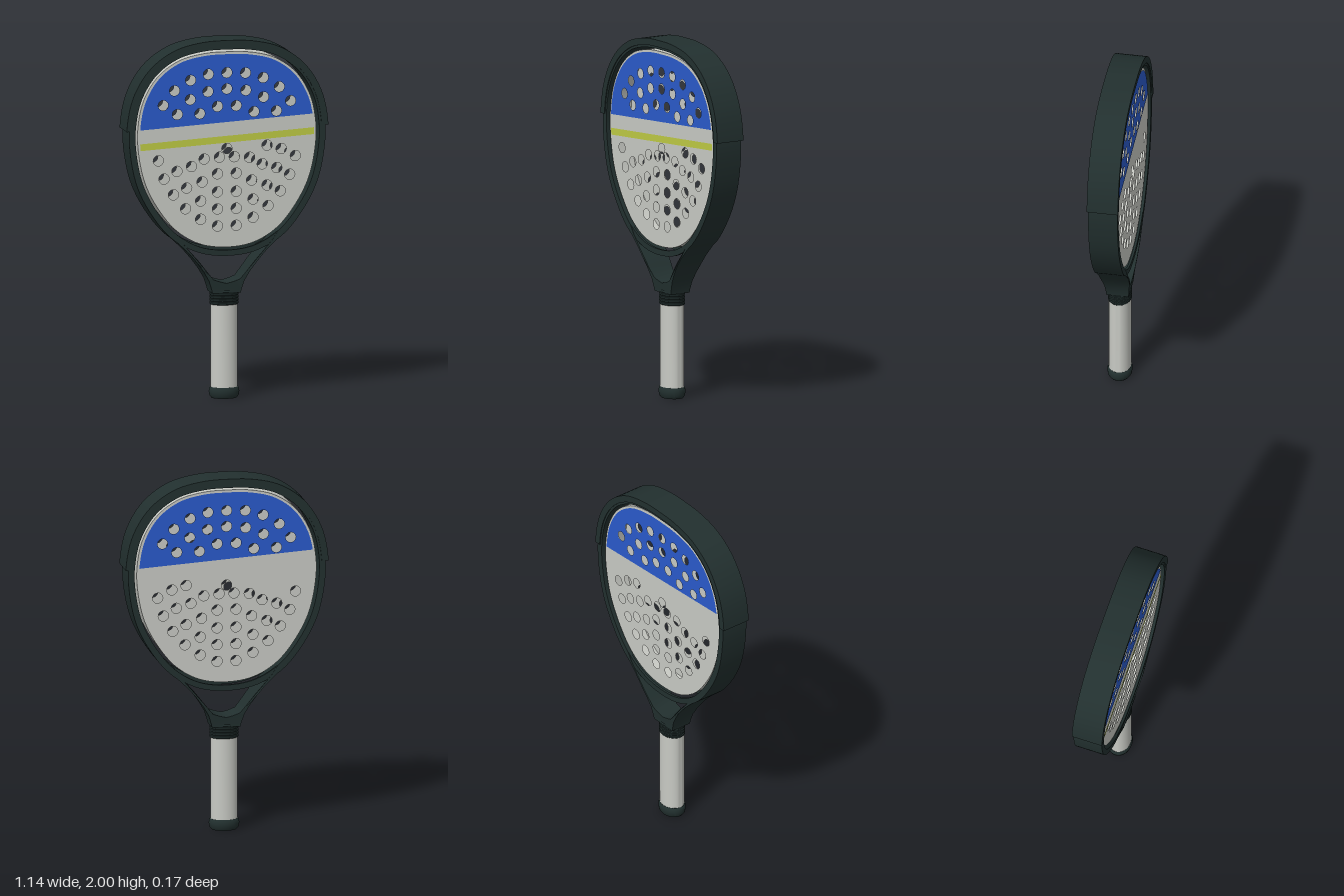
import * as THREE from 'three';
import { toCreasedNormals } from 'three/addons/utils/BufferGeometryUtils.js';

const mat = (name, color, side = THREE.FrontSide) => {
  const m = new THREE.MeshStandardMaterial({ color, side });
  m.name = name;
  return m;
};
const V = (x, y) => new THREE.Vector2(x, y);

// Egg outline of the hitting face, right half from bottom to top
const HALF = [[0, .848], [.15, .87], [.28, .945], [.385, 1.07], [.462, 1.22], [.5, 1.4],
  [.502, 1.53], [.47, 1.68], [.39, 1.81], [.27, 1.895], [.13, 1.93], [0, 1.936]];
const LOOP = [...HALF, ...HALF.slice(1, -1).reverse().map(([x, y]) => [-x, y])];
const CURVE = new THREE.CatmullRomCurve3(LOOP.map(([x, y]) => new THREE.Vector3(x, y, 0)), true);

// The outline moved outward by d, counter-clockwise from the bottom
function egg(d, n = 128) {
  return Array.from({ length: n }, (_, i) => {
    const p = CURVE.getPoint(i / n), t = CURVE.getTangent(i / n);
    return V(p.x + t.y * d, p.y - t.x * d);
  });
}

// Keeps the part of a polygon where f(point) > 0
function clip(points, f) {
  const out = [];
  points.forEach((a, i) => {
    const b = points[(i + 1) % points.length], fa = f(a), fb = f(b);
    if (fa > 0) out.push(a);
    if (fa * fb < 0) out.push(a.clone().lerp(b, fa / (fa - fb)));
  });
  return out;
}

// Drilled holes; every entry is mirrored unless x is 0
const UPPER = [[0, 1.82], [.105, 1.815], [.205, 1.785], [.296, 1.73], [.36, 1.65], [0, 1.73],
  [.107, 1.718], [.207, 1.677], [.28, 1.597], [.153, 1.597], [.053, 1.634]];
const LOWER = [[.387, 1.343], [0, 1.397], [.042, 1.35], [.128, 1.343], [.2, 1.304], [.282, 1.28],
  [.355, 1.24], [.053, 1.258], [.14, 1.216], [.227, 1.185], [.302, 1.15], [.053, 1.157],
  [.148, 1.11], [.233, 1.07], [.053, 1.062], [.148, 1.008], [.053, .967]];
const mirrored = (list) => list.flatMap(([x, y]) => (x ? [[x, y], [-x, y]] : [[x, y]]));

function drilled(points, holes) {
  const shape = new THREE.Shape(points);
  for (const [x, y] of holes) {
    shape.holes.push(new THREE.Path().absarc(x, y, .029, 0, Math.PI * 2, true));
  }
  return new THREE.ShapeGeometry(shape, 10);
}

// Extrusion centred on z = 0
function slab(points, hole, depth) {
  const shape = new THREE.Shape(points);
  if (hole) shape.holes.push(new THREE.Path(hole));
  const g = new THREE.ExtrudeGeometry(shape, { depth, bevelEnabled: false });
  return g.translate(0, 0, -depth / 2);
}

export function createModel() {
  const model = new THREE.Group();
  model.name = 'racket';
  const dark = mat('dark frame', 0x22302f);
  const grey = mat('light grey', 0xc8cac4);
  const sheet = mat('face grey', 0xc8cac4, THREE.DoubleSide);
  const blue = mat('blue', 0x2a5acb, THREE.DoubleSide);
  const lime = mat('lime', 0xbecb45, THREE.DoubleSide);
  const add = (name, geometry, material, z = 0) => {
    const mesh = new THREE.Mesh(geometry, material);
    mesh.name = name;
    mesh.position.z = z;
    model.add(mesh);
    return mesh;
  };
  const smooth = (g) => toCreasedNormals(g, .6);

  // Frame with the two throat legs and the yoke, thinner towards the grip
  const legOuter = [[.215, .82], [.17, .767], [.13, .712], [.1, .66], [.084, .61], [.08, .59]];
  const legInner = [[.253, .88], [.2, .82], [.156, .77], [.113, .715], [.075, .668], [.04, .655]];
  const withLegs = (head, leg, tip) => [...head,
    ...leg.map(([x, y]) => V(-x, y)), ...tip, ...leg.map(([x, y]) => V(x, y)).reverse()];
  const frame = slab(
    withLegs(clip(egg(.05), (p) => p.y - .88), legOuter, []),
    withLegs(clip(egg(.015), (p) => p.y - .93), legInner, [V(0, .645)]), .164);
  const pos = frame.attributes.position;
  for (let i = 0; i < pos.count; i++) {
    const k = THREE.MathUtils.smoothstep(pos.getY(i), .58, .8);
    pos.setZ(i, pos.getZ(i) * (.76 + .24 * k));
  }
  add('frame', smooth(frame), dark);

  // Thin front and back rims, which also bridge the throat
  for (const s of [1, -1]) {
    add('rim', smooth(slab(egg(.047), egg(.015), .014)), dark, s * .073);
  }

  // Bumper over the top of the head
  const above = (p) => p.y - 1.512;
  add('bumper', smooth(slab(
    [...clip(egg(.066), above), ...clip(egg(.028), above).reverse()], null, .174)), dark);

  // Hollow face: two drilled sheets joined by an edge wall
  const holes = [...mirrored(UPPER), ...mirrored(LOWER), [.307, 1.385], [.227, 1.407]];
  const faceGeometry = drilled(egg(0), holes);
  add('frontFace', faceGeometry, sheet, .068);
  add('backFace', faceGeometry, sheet, -.068);
  add('faceEdge', smooth(slab(egg(0), egg(-.006), .134)), grey);

  // Slanted blue panels on both sides and the lime stripe on the front
  const slant = (p, y) => p.y - y - .06 * p.x;
  const panel = drilled(clip(egg(-.013), (p) => slant(p, 1.545)), mirrored(UPPER));
  add('frontPanel', panel, blue, .071);
  add('backPanel', panel, blue, -.071).rotation.y = Math.PI;
  const band = clip(clip(egg(-.013), (p) => slant(p, 1.43)), (p) => -slant(p, 1.468));
  add('stripe', new THREE.ShapeGeometry(new THREE.Shape(band)), lime, .071);

  // Handle parts are flattened lathes
  const turned = (name, profile, material) => {
    const g = new THREE.LatheGeometry(profile.map(([r, y]) => V(r, y)), 40);
    add(name, toCreasedNormals(g.scale(1, 1, .81), .5), material);
  };
  turned('grip', [[.076, .05], [.076, .53]], grey);
  turned('buttCap', [[0, 0], [.07, 0], [.08, .012], [.085, .035], [.083, .053], [.077, .062], [0, .062]], dark);
  const collar = [[0, .522]];
  for (let i = 0; i < 5; i++) {
    const y = .522 + i * .017;
    collar.push([.077, y], [.081, y + .004], [.081, y + .012], [.077, y + .016]);
  }
  collar.push([.074, .615], [0, .62]);
  turned('collar', collar, dark);

  return model;
}
